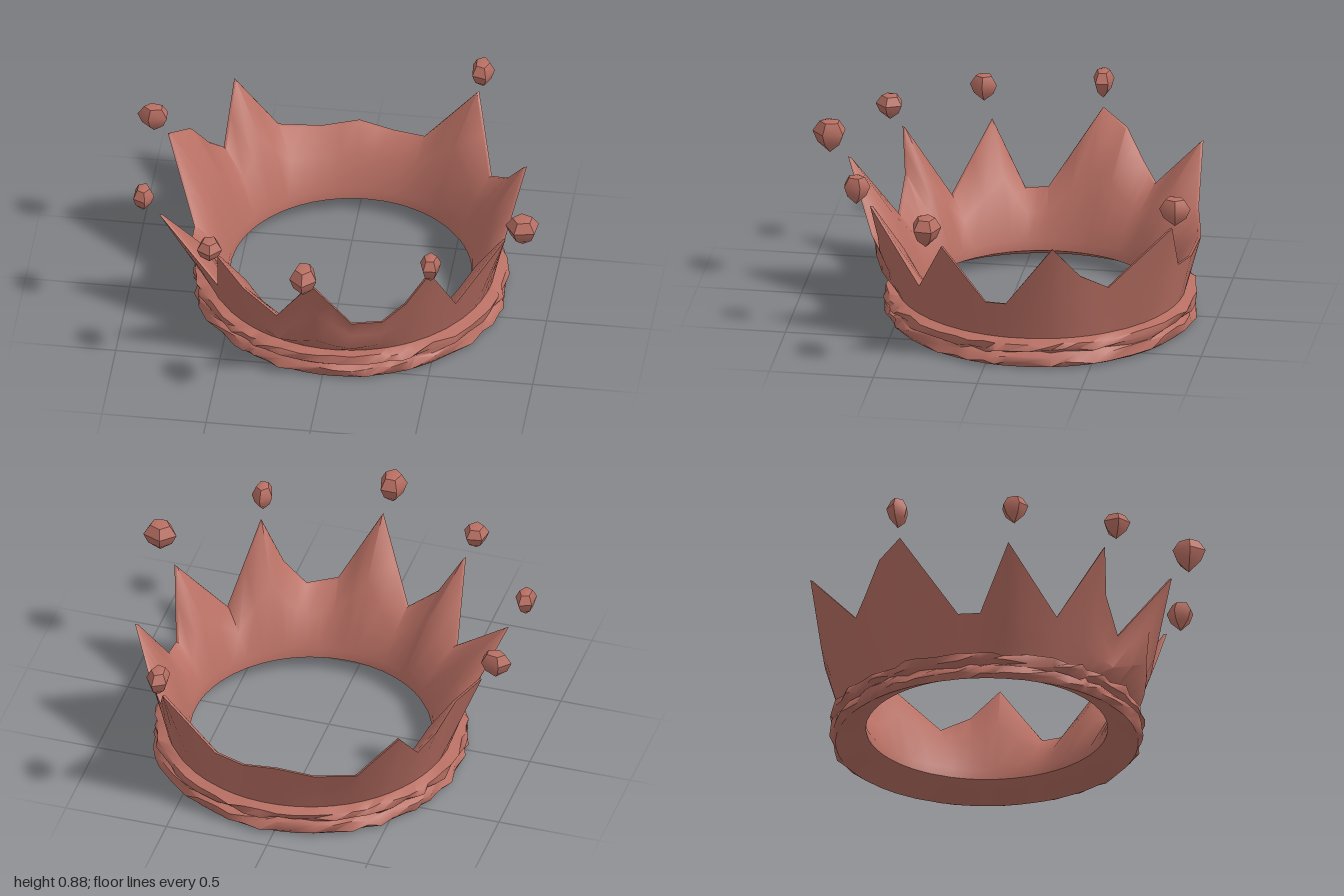
import * as THREE from 'three';
import { toCreasedNormals } from 'three/addons/utils/BufferGeometryUtils.js';

const CX = 0.04, CZ = -0.16; // centre of the ring

// Upper edge of the crown, anticlockwise from the front spike: x, y, z
const RIM = [
  [-0.03, 0.71, 0.78], [0.15, 0.39, 0.64], [0.29, 0.37, 0.58],
  [0.40, 0.48, 0.57], [0.52, 0.69, 0.59], [0.61, 0.33, 0.34],
  [0.83, 0.63, 0.20], [0.76, 0.33, 0.0], [0.77, 0.33, -0.10],
  [0.86, 0.66, -0.34], [0.76, 0.49, -0.46], [0.66, 0.40, -0.58],
  [0.56, 0.68, -0.87], [0.30, 0.39, -0.86], [0.15, 0.38, -0.90],
  [-0.02, 0.41, -0.92], [-0.20, 0.38, -0.89], [-0.40, 0.40, -0.85],
  [-0.61, 0.66, -0.84], [-0.63, 0.42, -0.61], [-0.70, 0.50, -0.54],
  [-0.77, 0.64, -0.45], [-0.86, 0.70, -0.32], [-0.70, 0.34, -0.08],
  [-0.70, 0.33, 0.03], [-0.83, 0.62, 0.21], [-0.53, 0.34, 0.36],
  [-0.50, 0.69, 0.59], [-0.38, 0.49, 0.56], [-0.22, 0.35, 0.57],
];

// Gem centres and half sizes
const GEMS = [
  [-0.05, 0.805, 0.87, 0.065, 0.085, 0.08],
  [0.53, 0.775, 0.655, 0.05, 0.075, 0.065],
  [-0.53, 0.775, 0.655, 0.06, 0.065, 0.065],
  [0.92, 0.74, 0.26, 0.08, 0.08, 0.07],
  [-0.90, 0.75, 0.26, 0.05, 0.07, 0.065],
  [-0.925, 0.795, -0.31, 0.075, 0.075, 0.05],
  [0.575, 0.775, -0.885, 0.055, 0.075, 0.075],
];

function seeded(seed) {
  return () => {
    seed = (seed * 16807) % 2147483647;
    return seed / 2147483647 - 0.5;
  };
}

// Closed skin through a ring of closed cross-sections
function skin(sections) {
  const n = sections.length, m = sections[0].length, index = [];
  for (let i = 0; i < n; i++) {
    for (let j = 0; j < m; j++) {
      const a = i * m + j, b = ((i + 1) % n) * m + j;
      const c = ((i + 1) % n) * m + (j + 1) % m, d = i * m + (j + 1) % m;
      index.push(a, b, c, a, c, d);
    }
  }
  const geo = new THREE.BufferGeometry();
  geo.setAttribute('position', new THREE.Float32BufferAttribute(sections.flat(2), 3));
  geo.setIndex(index);
  return toCreasedNormals(geo, 1.0);
}

// Rim points with a midpoint on each edge, as angle, radius, height
function rimColumns() {
  const cols = [];
  RIM.forEach((p, i) => {
    const q = RIM[(i + 1) % RIM.length];
    for (const t of [0, 0.5]) {
      const [x, y, z] = p.map((v, k) => v + (q[k] - v) * t);
      cols.push([Math.atan2(x - CX, z - CZ), Math.hypot(x - CX, z - CZ), y]);
    }
  });
  return cols;
}

// Base band profile (radius, height), crumpled, with a groove between two ridges
const BAND = [
  [0.742, 0.03], [0.735, 0.065], [0.715, 0.08], [0.742, 0.098], [0.738, 0.132],
];

export function createModel() {
  const crown = new THREE.Group();
  crown.name = 'crown';
  const clay = new THREE.MeshStandardMaterial({ color: 0xb86f63 });
  clay.name = 'terracotta';
  const add = (name, geo) => {
    const mesh = new THREE.Mesh(geo, clay);
    mesh.name = name;
    crown.add(mesh);
    return mesh;
  };

  // One skin: sloping underside, crumpled band, flaring spiked wall, inner face
  const rnd = seeded(71);
  const sections = rimColumns().map(([a, r, y]) => {
    // Point on the wall: tr of the way out and ty of the way up to the rim
    const wall = (base, foot, tr, ty) => [base + (r - base) * tr, foot + (y - foot) * ty];
    const low = wall(0.69, 0.14, 0.25, 0.25);
    low[0] += 0.06 * Math.max(0, Math.cos(a + 0.09)) ** 16; // swelling under the front spike
    const profile = [
      [0.575, 0.08], [0.72, 0.008],
      ...BAND.map(([br, by]) => [br + rnd() * 0.03, by + rnd() * 0.022]),
      [0.69, 0.142], low, wall(0.69, 0.14, 0.55, 0.55),
      [r, y], [r - 0.015, y - 0.003],
      wall(0.58, 0.13, 0.42, 0.55), [0.58, 0.13],
    ];
    return profile.map(([pr, py]) => [CX + pr * Math.sin(a), py, CZ + pr * Math.cos(a)]);
  });
  add('spikedBand', skin(sections));

  // Blunt gems floating above the spikes, narrowing downwards
  const gemProfile = [[0, -1], [0.72, -0.4], [1, 0.25], [0.6, 0.85], [0, 1]]
    .map(([x, y]) => new THREE.Vector2(x, y));
  GEMS.forEach(([x, y, z, sx, sy, sz], i) => {
    const geo = new THREE.LatheGeometry(gemProfile, 5, i * 0.7);
    geo.scale(sx * 1.05, sy, sz * 1.05);
    const gem = add('gem' + (i + 1), toCreasedNormals(geo, 0.75));
    gem.position.set(x, y, z);
  });

  return crown;
}
